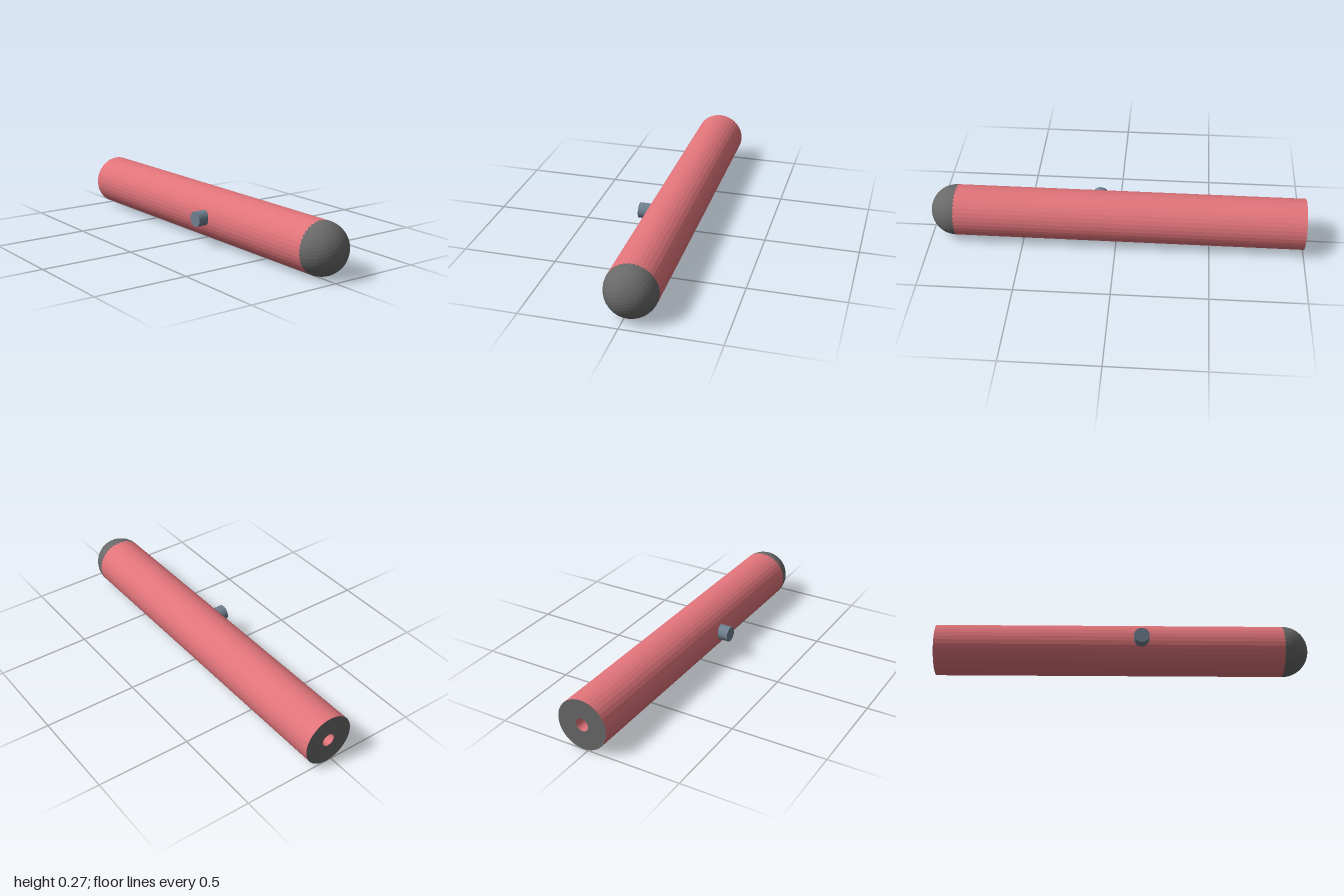
import * as THREE from 'three';

export function createModel() {
  const group = new THREE.Group();
  const R = 0.136, BORE = 0.034, LEFT = -1, RIGHT = 0.864, CY = 0.137, CZ = -0.027;

  const add = (name, geometry, color, x, y, z) => {
    const material = new THREE.MeshStandardMaterial({ color, flatShading: true, side: THREE.DoubleSide });
    const mesh = new THREE.Mesh(geometry, material);
    mesh.name = name;
    mesh.position.set(x, y, z);
    group.add(mesh);
  };

  // Long barrel and the narrow bore inside it, both along x
  const length = RIGHT - LEFT, middle = (RIGHT + LEFT) / 2;
  const pipe = (radius) => new THREE.CylinderGeometry(radius, radius, length, 36, 1, true).rotateZ(Math.PI / 2);
  add('barrel', pipe(R), 0xe0747a, middle, CY, CZ);
  add('bore', pipe(BORE), 0xe0747a, middle, CY, CZ);

  // Flat end plate with a round opening
  add('endPlate', new THREE.RingGeometry(BORE, R, 36).rotateY(-Math.PI / 2), 0x696969, LEFT, CY, CZ);

  // Rounded nose, a ball seated in the barrel
  add('nose', new THREE.SphereGeometry(R, 36, 24).rotateX(0.3), 0x696969, RIGHT, CY, CZ);

  // Push button standing out of the front
  const button = new THREE.CylinderGeometry(0.041, 0.041, 0.1, 28).rotateX(Math.PI / 2);
  add('button', button, 0x708090, 0.1, 0.144, 0.113);

  return group;
}
